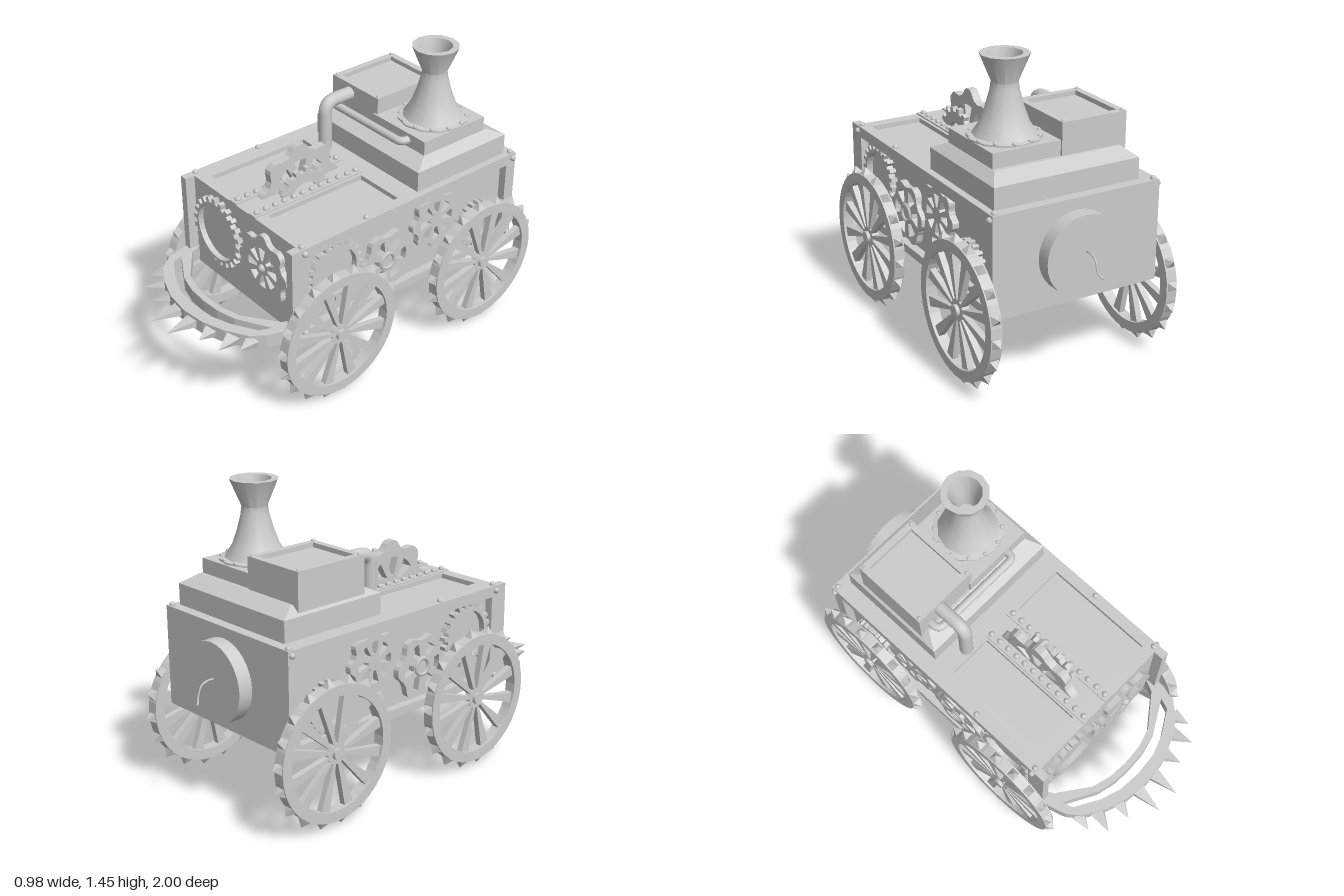
import * as THREE from 'three';
import { toCreasedNormals } from 'three/addons/utils/BufferGeometryUtils.js';

const V = (x, y, z) => new THREE.Vector3(x, y, z);

export function createModel() {
  const root = new THREE.Group();
  const mat = new THREE.MeshStandardMaterial({ color: 0xcccccc });

  const add = (name, geo, x = 0, y = 0, z = 0, parent = root) => {
    const m = new THREE.Mesh(geo, mat);
    m.name = name;
    m.position.set(x, y, z);
    parent.add(m);
    return m;
  };
  // box given by its limits
  const block = (name, x0, x1, y0, y1, z0, z1) =>
    add(name, new THREE.BoxGeometry(x1 - x0, y1 - y0, z1 - z0), (x0 + x1) / 2, (y0 + y1) / 2, (z0 + z1) / 2);
  const extrude = (shape, depth) => new THREE.ExtrudeGeometry(shape, { depth, bevelEnabled: false, curveSegments: 16 });
  const poly = pts => new THREE.Shape(pts.map(p => new THREE.Vector2(p[0], p[1])));
  const rect = (x0, x1, y0, y1) => poly([[x0, y0], [x1, y0], [x1, y1], [x0, y1]]);
  const polar = (r, a) => [r * Math.cos(a), r * Math.sin(a)];
  const circle = (r, n = 32) => poly(Array.from({ length: n }, (_, i) => polar(r, i / n * Math.PI * 2)));

  // tapering gaps between n spokes
  const cutSpokes = (shape, n, r0, r1, gap0, gap1) => {
    for (let i = 0; i < n; i++) {
      const c = i / n * Math.PI * 2, h = Math.PI / n;
      const pts = [polar(r0, c - h * gap0), polar(r0, c + h * gap0)];
      for (let k = 0; k <= 4; k++) pts.push(polar(r1, c + h * gap1 * (1 - k / 2)));
      shape.holes.push(poly(pts));
    }
    return shape;
  };
  // ring gear with square teeth
  const ringGear = (R, inner, teeth) => {
    const pts = [];
    for (let i = 0; i < teeth; i++)
      [[0.86, 0], [0.86, 0.45], [1, 0.52], [1, 0.93]].forEach(([k, f]) => pts.push(polar(R * k, (i + f) / teeth * Math.PI * 2)));
    const s = poly(pts);
    s.holes.push(circle(inner));
    return s;
  };
  // gear with rounded lobes and slotted web
  const lobeGear = (R, lobes, slots, r0, r1) => {
    const n = lobes * 10, pts = [];
    for (let i = 0; i < n; i++) {
      const a = i / n * Math.PI * 2, w = Math.max(-0.7, Math.min(0.7, Math.cos(lobes * a))) / 0.7;
      pts.push(polar(R * (0.92 + 0.08 * w), a));
    }
    return cutSpokes(poly(pts), slots, r0, r1, 0.45, 0.6);
  };

  // hull
  block('hull', -0.385, 0.385, 0.39, 0.85, -0.82, 0.51);
  for (const s of [-1, 1]) {
    const bar = (name, y0, y1, z0, z1) => block(name, s < 0 ? -0.425 : 0.385, s < 0 ? -0.385 : 0.425, y0, y1, z0, z1);
    bar('frontPost', 0.39, 0.873, 0.465, 0.56);
    bar('rearPost', 0.39, 0.873, -0.82, -0.76);
    bar('topRail', 0.82, 0.873, -0.76, 0.465);
    bar('bottomRail', 0.39, 0.43, -0.76, 0.465);
  }

  // deck plate with two sunken panels
  const deck = rect(-0.385, 0.385, -0.82, 0.51);
  deck.holes.push(rect(-0.33, -0.11, -0.1, 0.45), rect(0.11, 0.37, -0.1, 0.45));
  add('deckPlate', extrude(deck, 0.023), 0, 0.873, 0).rotation.x = Math.PI / 2;

  // riveted strips either side of the deck gears
  const rivet = new THREE.SphereGeometry(0.015, 8, 6);
  for (const x of [-0.075, 0.07]) {
    block('rivetStrip', x - 0.025, x + 0.025, 0.87, 0.88, -0.12, 0.51);
    for (let i = 0; i < 12; i++) add('rivet', rivet, x, 0.883, -0.1 + i * 0.053);
  }
  for (const x of [-0.405, 0.405]) for (const z of [0.49, 0.12, -0.8]) {
    add('cornerBolt', rivet, x, 0.875, z);
    if (z !== 0.12) for (const y of [0.42, 0.85]) add('sideBolt', rivet, Math.sign(x) * 0.428, y, z);
  }

  // upright gears in the deck slot
  const upright = (name, shape, depth, x, y, z) => { add(name, extrude(shape, depth), x, y, z).rotation.y = Math.PI / 2; };
  upright('largeDeckGear', lobeGear(0.23, 8, 8, 0.06, 0.15), 0.04, -0.05, 0.853, 0.165);
  upright('smallDeckGear', ringGear(0.155, 0.08, 16), 0.027, 0.02, 0.835, 0.185);

  // front gears
  add('frontRingGear', extrude(ringGear(0.18, 0.143, 22), 0.03), -0.185, 0.665, 0.508);
  add('frontLobeGear', extrude(lobeGear(0.175, 8, 8, 0.04, 0.105), 0.03), 0.175, 0.66, 0.508);
  add('gearHub', new THREE.SphereGeometry(0.02, 10, 8), 0.175, 0.66, 0.538);

  // side gears
  for (const s of [-1, 1]) {
    const sideGear = (name, shape, y, z) => {
      add(name, extrude(shape, 0.034), s * 0.383, y, z).rotation.y = s * Math.PI / 2;
    };
    sideGear('sideRingGear', ringGear(0.16, 0.12, 22), 0.665, 0.305);
    sideGear('sideMiddleGear', lobeGear(0.155, 6, 6, 0.055, 0.115), 0.59, -0.005);
    sideGear('sideLobeGear', lobeGear(0.15, 8, 8, 0.04, 0.1), 0.69, -0.31);
    sideGear('sideRearGear', ringGear(0.125, 0.09, 20), 0.55, -0.585);
    add('middleGearHub', new THREE.TorusGeometry(0.04, 0.01, 6, 20), s * 0.417, 0.59, -0.005).rotation.y = Math.PI / 2;
  }

  // wheels
  const rim = circle(0.32, 40);
  rim.holes.push(circle(0.27, 40));
  const rimGeo = extrude(rim, 0.055).translate(0, 0, -0.0275);
  const spokeGeo = extrude(cutSpokes(circle(0.275, 40), 12, 0.05, 0.27, 0.45, 0.64), 0.03).translate(0, 0, -0.015);
  const pyramid = (w, h, d) => new THREE.ConeGeometry(Math.SQRT1_2, 1, 4, 1).toNonIndexed().rotateY(Math.PI / 4).translate(0, 0.5, 0).scale(w, h, d);
  const studGeo = pyramid(0.045, 0.037, 0.045);
  studGeo.computeVertexNormals();
  for (const s of [-1, 1]) for (const z of [0.32, -0.59]) {
    const wheel = new THREE.Group();
    wheel.name = z > 0 ? 'frontWheel' : 'rearWheel';
    wheel.position.set(s * 0.455, 0.355, z);
    wheel.rotation.y = s * Math.PI / 2;
    root.add(wheel);
    add('rim', rimGeo, 0, 0, 0, wheel);
    add('spokes', spokeGeo, 0, 0, 0, wheel);
    add('hub', new THREE.CylinderGeometry(0.028, 0.028, 0.065, 12), 0, 0, 0, wheel).rotation.x = Math.PI / 2;
    for (let i = 0; i < 18; i++) {
      const a = i / 18 * Math.PI * 2 + 0.1;
      add('stud', studGeo, -0.318 * Math.sin(a), 0.318 * Math.cos(a), 0, wheel).rotation.z = a;
    }
  }

  // bumper: curved outer bar and inner brace around a crescent gap
  const half = [[0.425, 0.5], [0.415, 0.6], [0.39, 0.68], [0.34, 0.745], [0.24, 0.805], [0.13, 0.845]];
  const inner = [[0.385, 0.5], [0.355, 0.57], [0.2, 0.685], [0.1, 0.713]];
  const mirror = p => [-p[0], p[1]];
  const bumper = poly([...half, [0, 0.86], ...half.map(mirror).reverse(), ...inner.map(mirror), [0, 0.72], ...[...inner].reverse()]);
  const gapOut = [[0.36, 0.63], [0.34, 0.685], [0.22, 0.755], [0.12, 0.79]], gapIn = [[0.2, 0.72], [0.1, 0.745]];
  bumper.holes.push(poly([...gapOut, [0, 0.8], ...gapOut.map(mirror).reverse(), ...gapIn.map(mirror), [0, 0.75], ...[...gapIn].reverse()]));
  add('bumper', extrude(bumper, 0.067), 0, 0.477, 0).rotation.x = Math.PI / 2;

  // bumper spikes: base x, z and tip x, z
  const spikes = [[0.055, 0.845, 0.06, 0.995], [0.165, 0.82, 0.19, 0.91], [0.27, 0.78, 0.305, 0.885], [0.345, 0.725, 0.365, 0.81]];
  for (const s of [-1, 1]) for (const [bx, bz, tx, tz] of spikes) {
    const g = pyramid(0.065, Math.hypot(tx - bx, tz - bz), 0.04);
    g.computeVertexNormals();
    const m = add('bumperSpike', g, s * bx, 0.443, bz);
    m.rotation.set(Math.PI / 2, 0, -s * Math.atan2(tx - bx, tz - bz));
    m.rotation.order = 'ZYX';
    m.quaternion.setFromUnitVectors(V(0, 1, 0), V(s * (tx - bx), 0, tz - bz).normalize());
  }

  // boiler housing: base tier, sloped shoulder, raised chimney base
  block('housingBase', -0.345, 0.39, 0.87, 0.975, -0.77, -0.205);
  const shoulder = new THREE.BoxGeometry(0.735, 0.04, 0.565);
  const sp = shoulder.attributes.position;
  for (let i = 0; i < sp.count; i++) if (sp.getY(i) > 0) sp.setXYZ(i, sp.getX(i) * 0.87, 0.02, sp.getZ(i) * 0.72);
  shoulder.computeVertexNormals();
  add('housingShoulder', shoulder, 0.0225, 0.995, -0.4875);
  block('chimneyBase', -0.02, 0.34, 0.98, 1.085, -0.67, -0.285);

  // tank box with rimmed lid
  block('tankBox', -0.333, 0, 0.98, 1.145, -0.68, -0.295);
  const lid = rect(-0.333, 0, -0.68, -0.295);
  lid.holes.push(rect(-0.3, -0.033, -0.647, -0.328));
  add('tankRim', extrude(lid, 0.025), 0, 1.167, 0).rotation.x = Math.PI / 2;
  const smallBolt = new THREE.SphereGeometry(0.01, 8, 6);
  for (const x of [-0.318, -0.015]) for (const z of [-0.665, -0.31]) add('tankBolt', smallBolt, x, 1.167, z);

  // chimney
  const profile = [[0, 1.08], [0.17, 1.08], [0.17, 1.093], [0.145, 1.097], [0.11, 1.15], [0.085, 1.22], [0.066, 1.29], [0.06, 1.33],
    [0.112, 1.455], [0.08, 1.455], [0.045, 1.34], [0.045, 1.25], [0, 1.25]].map(p => new THREE.Vector2(...p));
  add('chimney', toCreasedNormals(new THREE.LatheGeometry(profile, 12), 0.6), 0.175, 0, -0.49);
  for (let i = 0; i < 12; i++) {
    const [x, z] = polar(0.157, (i + 0.5) / 12 * Math.PI * 2);
    add('flangeBolt', smallBolt, 0.175 + x, 1.095, -0.49 + z);
  }

  // pipes with rounded bends
  const pipe = (name, r, bend, pts) => {
    const path = new THREE.CurvePath();
    let from = pts[0];
    for (let i = 1; i < pts.length - 1; i++) {
      const a = pts[i].clone().add(pts[i - 1].clone().sub(pts[i]).setLength(bend));
      const b = pts[i].clone().add(pts[i + 1].clone().sub(pts[i]).setLength(bend));
      path.add(new THREE.LineCurve3(from, a));
      path.add(new THREE.QuadraticBezierCurve3(a, pts[i], b));
      from = b;
    }
    path.add(new THREE.LineCurve3(from, pts[pts.length - 1]));
    add(name, new THREE.TubeGeometry(path, 60, r, 12));
  };
  pipe('steamPipe', 0.033, 0.06, [V(-0.205, 0.86, -0.14), V(-0.205, 1.118, -0.14), V(-0.205, 1.118, -0.32)]);
  pipe('crossPipe', 0.02, 0.035, [V(-0.27, 1.05, -0.32), V(-0.27, 1.05, -0.245), V(0.225, 1.05, -0.245), V(0.225, 1.05, -0.32)]);

  // rear drum and tail wire
  add('rearDrum', new THREE.CylinderGeometry(0.19, 0.19, 0.08, 32), 0.008, 0.63, -0.85).rotation.x = Math.PI / 2;
  const wire = new THREE.CatmullRomCurve3([V(0, 0.65, -0.88), V(0, 0.65, -0.92), V(0, 0.635, -0.955), V(0, 0.585, -0.975), V(-0.01, 0.565, -0.985), V(-0.02, 0.56, -0.997)]);
  add('tailWire', new THREE.TubeGeometry(wire, 24, 0.005, 6));

  return root;
}
